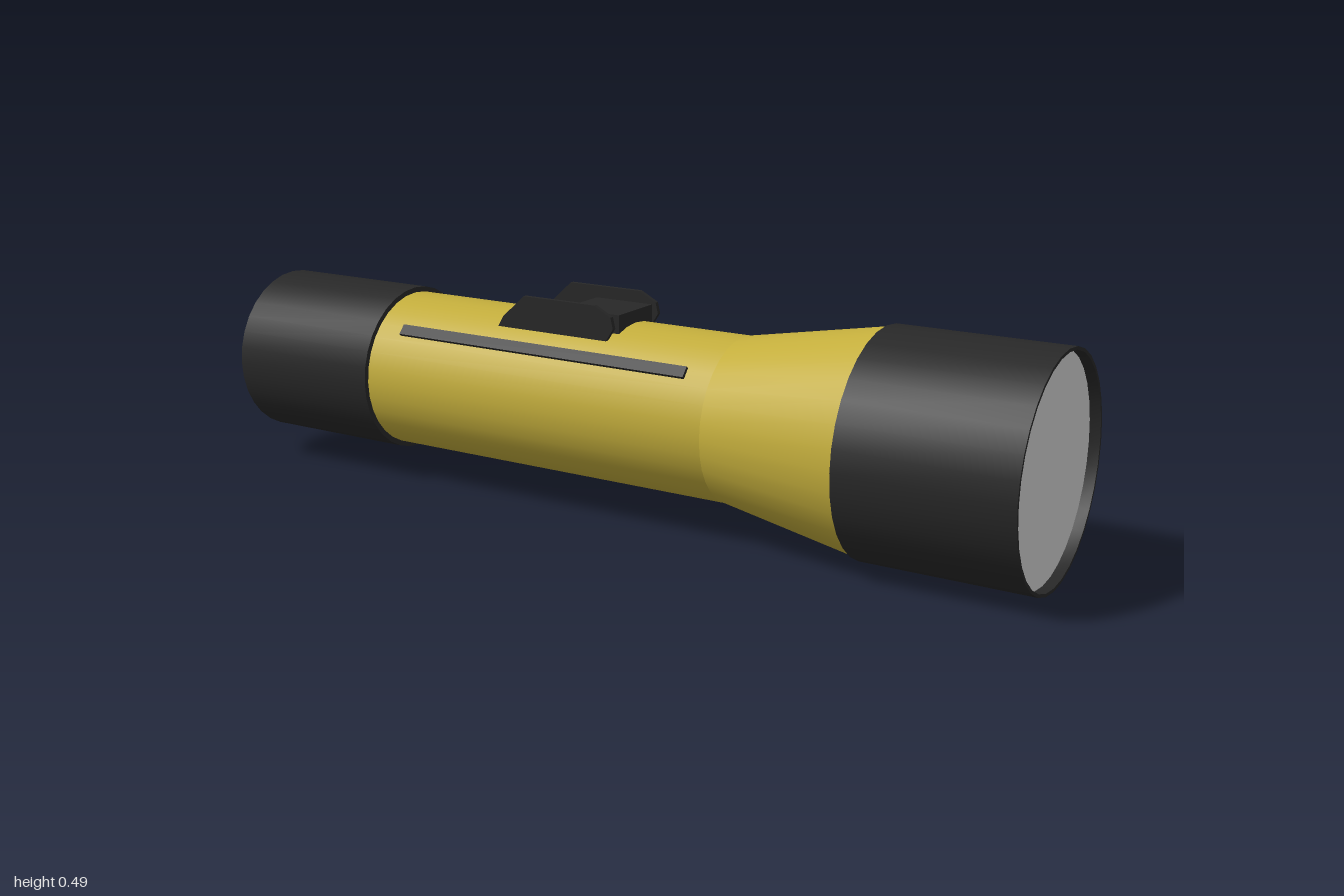
import * as THREE from 'three';
import { toCreasedNormals } from 'three/addons/utils/BufferGeometryUtils.js';

const AXIS_Y = 0.246;

export function createModel() {
  const model = new THREE.Group();
  model.name = 'flashlight';

  const mat = (name, color) => {
    const m = new THREE.MeshStandardMaterial({ color });
    m.name = name;
    return m;
  };
  const yellow = mat('yellow casing', 0xc4ae3c);
  const black = mat('black rubber', 0x282828);
  const glass = mat('pale lens', 0xd8d8d8);

  const add = (name, geometry, material, parent = model) => {
    const mesh = new THREE.Mesh(geometry, material);
    mesh.name = name;
    parent.add(mesh);
    return mesh;
  };

  // Everything sits around the long axis of the barrel
  const barrel = new THREE.Group();
  barrel.name = 'barrel';
  barrel.position.y = AXIS_Y;
  model.add(barrel);

  // Revolve [x, radius] pairs around the x axis
  const revolve = (name, profile, material) => {
    const points = profile.map(([x, r]) => new THREE.Vector2(r, x));
    const g = new THREE.LatheGeometry(points, 32).rotateZ(-Math.PI / 2);
    return add(name, toCreasedNormals(g, 0.5), material, barrel);
  };

  revolve('tailCap', [[-1, 0], [-1, 0.155], [-0.967, 0.193], [-0.58, 0.193], [-0.58, 0.17]], black);
  revolve('body', [[-0.6, 0.181], [0.3, 0.181]], yellow);
  revolve('flare', [[0.3, 0.181], [0.63, 0.241]], yellow);
  revolve('headRing', [[0.625, 0.23], [0.625, 0.245], [1, 0.245], [1, 0.238], [0.97, 0.238]], black);

  // Lens set slightly inside the head ring
  const lens = add('lens', new THREE.CircleGeometry(0.239, 32).rotateY(Math.PI / 2), glass, barrel);
  lens.position.x = 0.977;

  // Grip strips lying on the upper shoulders
  for (const side of [1, -1]) {
    const angle = side * 0.83;
    const strip = add(side > 0 ? 'frontGripStrip' : 'backGripStrip',
      new THREE.BoxGeometry(0.75, 0.016, 0.026), black, barrel);
    strip.rotation.x = angle;
    strip.position.set(-0.135, Math.cos(angle) * 0.18, Math.sin(angle) * 0.18);
  }

  // Switch: two guard plates with a button between them
  const guardShape = new THREE.Shape([
    [-0.265, 0.402], [-0.252, 0.425], [-0.195, 0.477], [-0.01, 0.477],
    [0.032, 0.455], [0.038, 0.43], [0.02, 0.402],
  ].map(([x, y]) => new THREE.Vector2(x, y)));
  for (const side of [1, -1]) {
    const guard = add(side > 0 ? 'frontSwitchGuard' : 'backSwitchGuard',
      new THREE.ExtrudeGeometry(guardShape, { depth: 0.01, bevelEnabled: false }), black);
    guard.position.z = side * 0.093 - 0.005;
  }
  const button = add('switchButton', new THREE.BoxGeometry(0.145, 0.06, 0.136), black);
  button.position.set(-0.038, 0.425, 0);

  return model;
}
